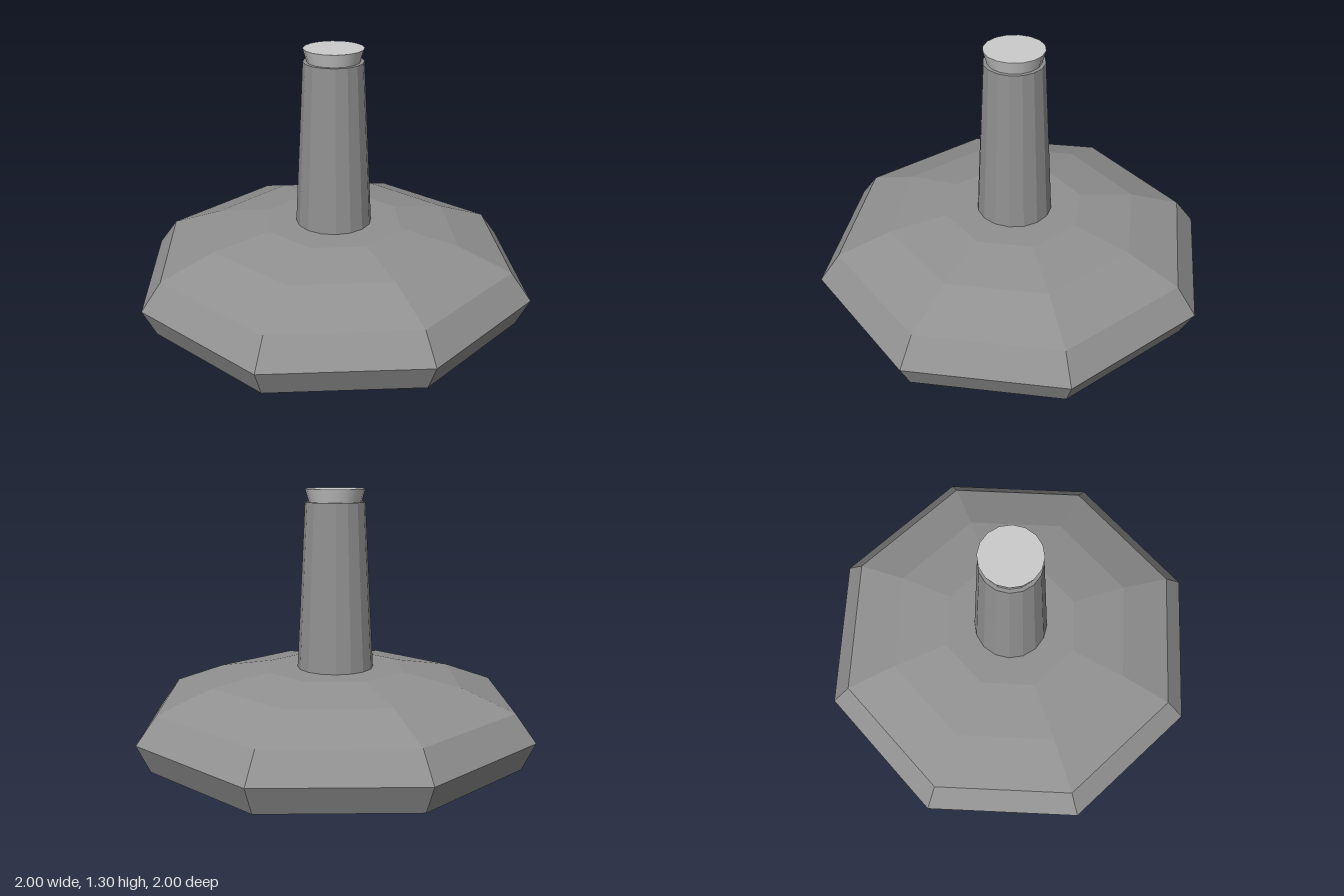
import * as THREE from 'three';

export function createModel() {
  const model = new THREE.Group();
  const dark = new THREE.MeshStandardMaterial({ color: 0x919191, flatShading: true });
  const light = new THREE.MeshStandardMaterial({ color: 0xcccccc });

  const add = (name, geometry, material, y = 0) => {
    const mesh = new THREE.Mesh(geometry, material);
    mesh.name = name;
    mesh.position.y = y;
    model.add(mesh);
  };
  const drum = (top, bottom, bottomY, topY, sides) =>
    [new THREE.CylinderGeometry(top, bottom, topY - bottomY, sides), (bottomY + topY) / 2];

  // Eight-sided domed base
  const profile = [[0, 0.012], [0.935, 0.012], [1, 0.147], [0.9, 0.28], [0.635, 0.38], [0.35, 0.43], [0, 0.43]];
  add('base', new THREE.LatheGeometry(profile.map(([x, y]) => new THREE.Vector2(x, y)), 8), dark);

  // Thin pad under the base
  const [padGeometry, padY] = drum(0.88, 0.88, 0, 0.014, 8);
  add('bottomPad', padGeometry, light, padY);

  // Tapered post
  const [postGeometry, postY] = drum(0.146, 0.188, 0.41, 1.24, 16);
  add('post', postGeometry, dark, postY);

  // Flared cap, narrow where it meets the post
  const [capGeometry, capY] = drum(0.146, 0.125, 1.23, 1.303, 16);
  add('cap', capGeometry, light, capY);

  return model;
}
